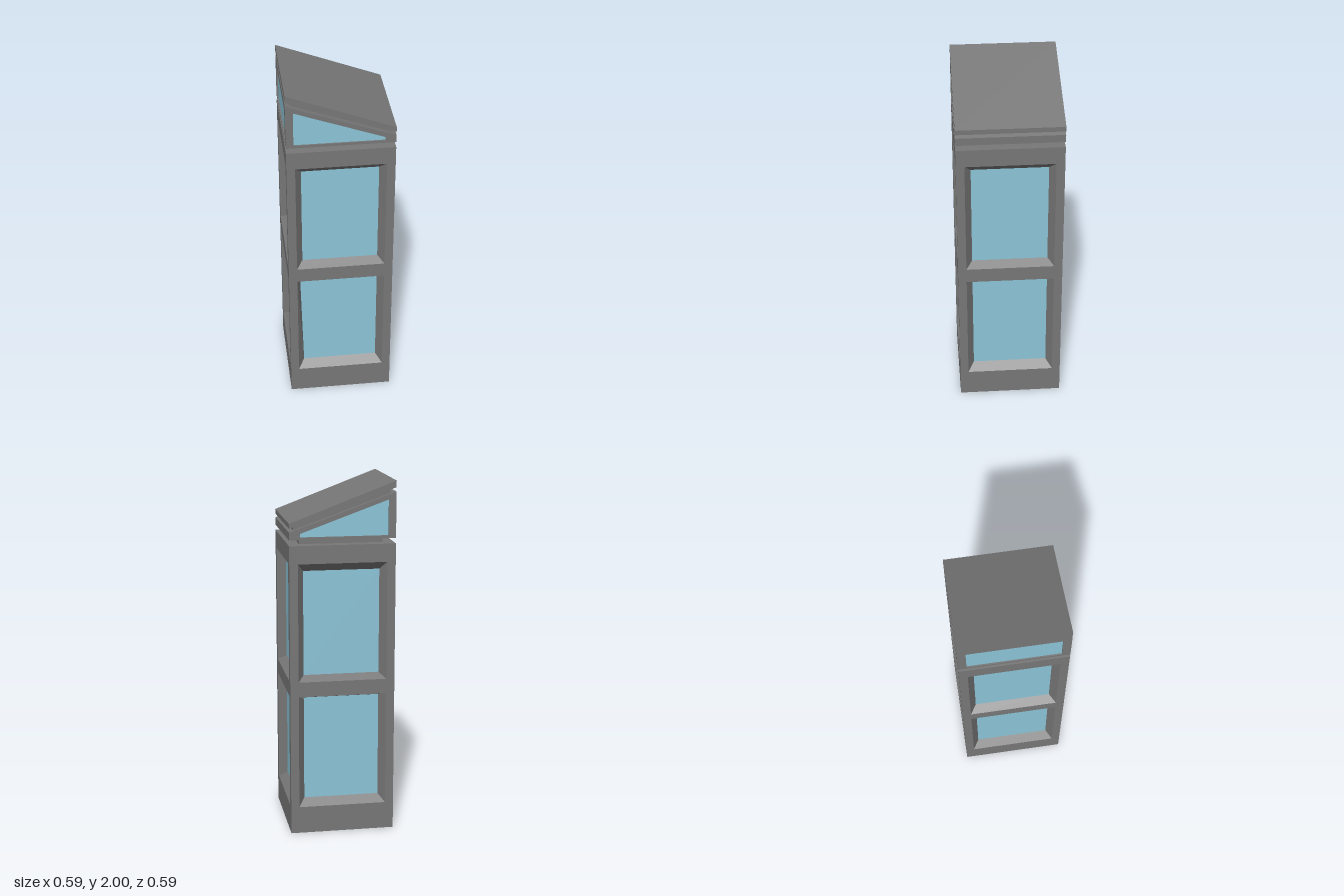
import * as THREE from 'three';

const H = 0.295; // half width of the tower
const frameMat = new THREE.MeshStandardMaterial({ color: 0x777777, flatShading: true });
const glassMat = new THREE.MeshStandardMaterial({ color: 0x8cc4d8, flatShading: true });

const rect = (w, y0, y1) => [[-w, y0], [w, y0], [w, y1], [-w, y1]];
const mirror = (pts) => pts.map(([x, y]) => [-x, y]).reverse();

function mesh(name, geometry, material) {
  const m = new THREE.Mesh(geometry, material);
  m.name = name;
  return m;
}

function toShape(pts) {
  return new THREE.Shape(pts.map(([x, y]) => new THREE.Vector2(x, y)));
}

// One flat wall facing +z with splayed window reveals and recessed glass.
// Every window is a pair of counter-clockwise outlines: outer edge, glass edge.
function wall(name, outline, windows, depth, angle) {
  const g = new THREE.Group();
  g.name = name;
  const face = toShape(outline);
  const reveal = [];
  for (const { outer, inner } of windows) {
    face.holes.push(toShape(outer));
    outer.forEach((a, i) => {
      const j = (i + 1) % outer.length;
      const A = [...a, 0], B = [...outer[j], 0];
      const C = [...inner[j], -depth], D = [...inner[i], -depth];
      reveal.push(...A, ...B, ...C, ...A, ...C, ...D);
    });
    const pane = mesh('windowGlass', new THREE.ShapeGeometry(toShape(inner)), glassMat);
    pane.position.z = H - depth;
    g.add(pane);
  }
  const front = mesh('wallFace', new THREE.ShapeGeometry(face), frameMat);
  front.position.z = H;
  g.add(front);
  if (reveal.length) {
    const geo = new THREE.BufferGeometry();
    geo.setAttribute('position', new THREE.Float32BufferAttribute(reveal, 3));
    geo.computeVertexNormals();
    const m = mesh('windowReveals', geo, frameMat);
    m.position.z = H;
    g.add(m);
  }
  g.rotation.y = angle;
  return g;
}

// Solid with a four-sided front profile, sloping down toward +x
function slab(name, w, leftY, rightY) {
  const profile = [[-w, leftY[0]], [w, rightY[0]], [w, rightY[1]], [-w, leftY[1]]];
  const geo = new THREE.ExtrudeGeometry(toShape(profile), { depth: 2 * w, bevelEnabled: false });
  return mesh(name, geo.translate(0, 0, -w), frameMat);
}

// Horizontal square closing a hollow block
function cap(name, y, up) {
  const m = mesh(name, new THREE.PlaneGeometry(2 * H, 2 * H), frameMat);
  m.rotation.x = up ? -Math.PI / 2 : Math.PI / 2;
  m.position.y = y;
  return m;
}

export function createModel() {
  const model = new THREE.Group();
  model.name = 'glazedTower';

  // Main shaft: four walls with two windows each
  const shaft = new THREE.Group();
  shaft.name = 'shaft';
  for (let i = 0; i < 4; i++) {
    const lower = { outer: rect(0.248, 0.155, 0.805), inner: rect(0.213, 0.195, 0.79) };
    const upper = { outer: rect(0.248, 0.89, 1.555), inner: rect(0.213, 0.92, 1.51) };
    if (i === 0) lower.inner[3][0] = -0.228; // front reveal is slightly skewed
    shaft.add(wall('shaftWall', rect(H, 0, 1.656), [lower, upper], 0.048, i * Math.PI / 2));
  }
  shaft.add(cap('base', 0, false), cap('shaftTop', 1.656, true));
  model.add(shaft);

  // Recessed neck below the lantern
  model.add(slab('neck', 0.232, [1.656, 1.687], [1.656, 1.687]));

  // Lantern with wedge-shaped side windows and one tall end window
  const lantern = new THREE.Group();
  lantern.name = 'lantern';
  const bottom = 1.687, high = 1.94, low = 1.73;
  const wedge = [[-H, bottom], [H, bottom], [H, low], [-H, high]];
  const outer = [[-0.254, 1.702], [0.236, 1.702], [0.236, 1.722], [-0.254, 1.898]];
  const endWindow = rect(0.25, 1.702, 1.898);
  lantern.add(
    wall('lanternFront', wedge, [{ outer, inner: outer }], 0.008, 0),
    wall('lanternBack', mirror(wedge), [{ outer: mirror(outer), inner: mirror(outer) }], 0.008, Math.PI),
    wall('lanternTallEnd', rect(H, bottom, high), [{ outer: endWindow, inner: endWindow }], 0.008, -Math.PI / 2),
    wall('lanternLowEnd', rect(H, bottom, low), [], 0, Math.PI / 2),
    cap('lanternBottom', bottom, false),
  );
  const top = cap('lanternTop', 0, true);
  top.geometry = new THREE.PlaneGeometry(Math.hypot(2 * H, high - low), 2 * H).rotateX(-Math.PI / 2);
  top.rotation.set(0, 0, -Math.atan2(high - low, 2 * H));
  top.position.y = (high + low) / 2;
  lantern.add(top);
  model.add(lantern);

  // Inset strip and sloping roof plate
  model.add(slab('roofStrip', 0.27, [1.915, 1.965], [1.725, 1.765]));
  model.add(slab('roof', H, [1.963, 2], [1.751, 1.778]));

  return model;
}
